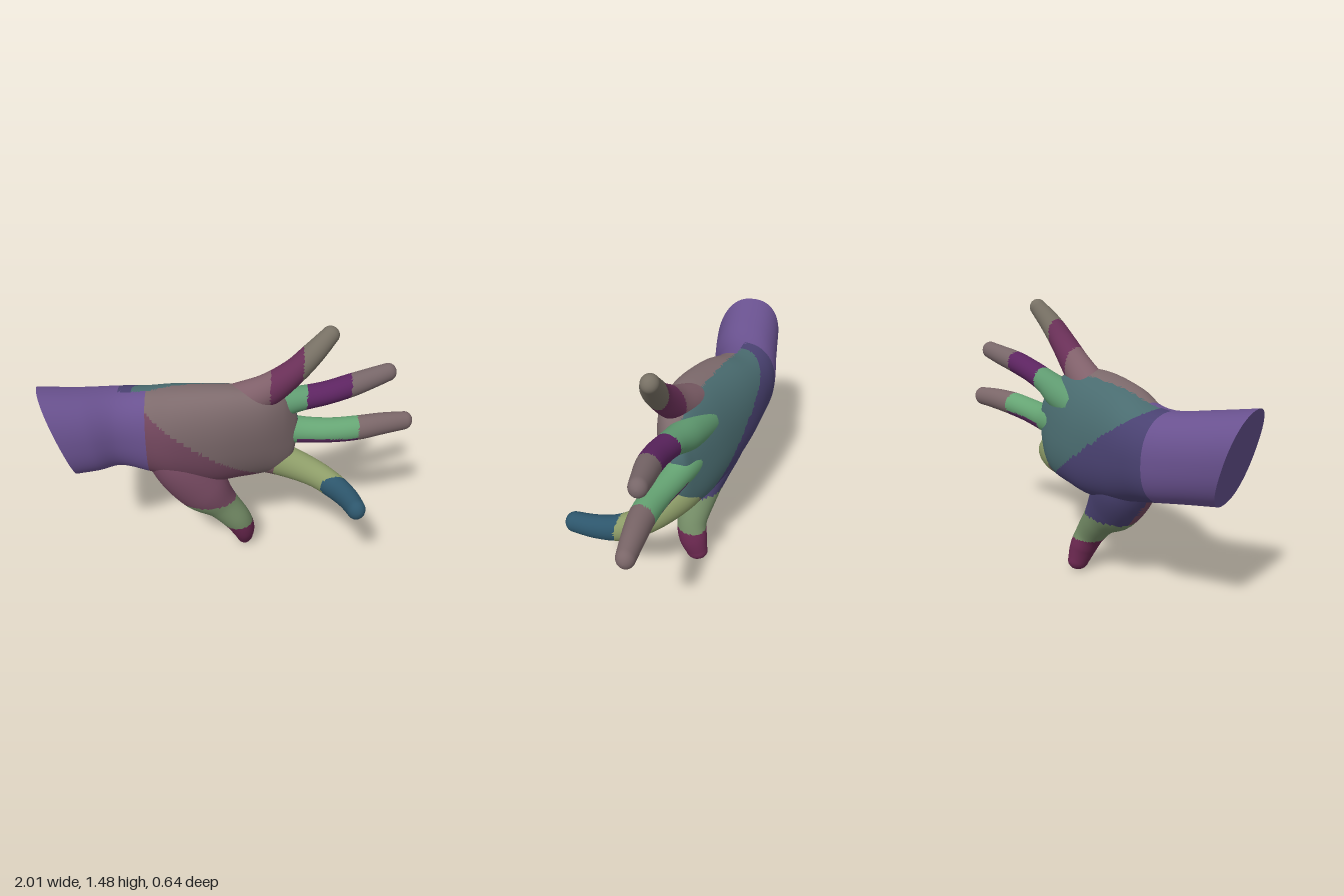
import * as THREE from 'three';

const V = (x, y, z) => new THREE.Vector3(x, y, z);

// Uniform Catmull-Rom through rows of any width, t in 0..1
function spline(rows, t) {
  const n = rows.length - 1, s = Math.min(t * n, n - 1e-6), i = Math.floor(s), f = s - i;
  const p = k => rows[Math.max(0, Math.min(n, k))];
  const a = p(i - 1), b = p(i), c = p(i + 1), d = p(i + 2);
  return b.map((_, k) => 0.5 * (2 * b[k] + (c[k] - a[k]) * f
    + (2 * a[k] - 5 * b[k] + 4 * c[k] - d[k]) * f * f
    + (3 * b[k] - a[k] - 3 * c[k] + d[k]) * f * f * f));
}

// Skin rings of points, then split the smooth skin into coloured zones
function skin(name, rings, zoneOf, colors) {
  const m = rings[0].length, pos = [], idx = [];
  rings.forEach(r => r.forEach(p => pos.push(p.x, p.y, p.z)));
  for (let i = 0; i < rings.length - 1; i++) {
    for (let j = 0; j < m; j++) {
      const a = i * m + j, b = i * m + (j + 1) % m;
      idx.push(a, b, a + m, b, b + m, a + m);
    }
  }
  let geo = new THREE.BufferGeometry();
  geo.setAttribute('position', new THREE.Float32BufferAttribute(pos, 3));
  geo.setIndex(idx);
  geo.computeVertexNormals();
  geo = geo.toNonIndexed();
  const P = geo.attributes.position.array, N = geo.attributes.normal.array;
  const zones = {};
  for (let k = 0; k < P.length; k += 9) {
    const mid = V(P[k] + P[k + 3] + P[k + 6], P[k + 1] + P[k + 4] + P[k + 7],
      P[k + 2] + P[k + 5] + P[k + 8]).divideScalar(3);
    const z = zones[zoneOf(mid)] ??= { p: [], n: [] };
    z.p.push(...P.slice(k, k + 9));
    z.n.push(...N.slice(k, k + 9));
  }
  const group = new THREE.Group();
  group.name = name;
  for (const key in zones) {
    const g = new THREE.BufferGeometry();
    g.setAttribute('position', new THREE.Float32BufferAttribute(zones[key].p, 3));
    g.setAttribute('normal', new THREE.Float32BufferAttribute(zones[key].n, 3));
    const mesh = new THREE.Mesh(g, new THREE.MeshStandardMaterial({ color: colors[key] }));
    mesh.name = name + key;
    group.add(mesh);
  }
  return group;
}

// Finger: stations of [x, y, z, radius, radius], closed by a rounded tip
function fingerRings(stations, ref, steps = 60, sides = 32) {
  const rings = [];
  const ring = (c, dir, ra, rb) => {
    const A = ref.clone().cross(dir).normalize(), B = dir.clone().cross(A);
    rings.push(Array.from({ length: sides }, (_, j) => {
      const a = j / sides * Math.PI * 2;
      return c.clone().addScaledVector(A, ra * Math.cos(a)).addScaledVector(B, rb * Math.sin(a));
    }));
  };
  const at = t => V(...spline(stations, t).slice(0, 3));
  const tangent = t => at(Math.min(1, t + 0.02)).sub(at(Math.max(0, t - 0.02))).normalize();
  for (let i = 0; i <= steps; i++) {
    const t = i / steps, s = spline(stations, t);
    ring(at(t), tangent(t), s[3], s[4]);
  }
  const [x, y, z, ra, rb] = stations.at(-1), dir = tangent(1);
  for (let k = 1; k <= 7; k++) {
    const a = k / 7 * Math.PI / 2, c = Math.max(Math.cos(a), 0.001);
    ring(V(x, y, z).addScaledVector(dir, 0.95 * (ra + rb) / 2 * Math.sin(a)), dir, ra * c, rb * c);
  }
  return rings;
}

// Forearm and palm: [xTop, xBottom, yTop, yBottom, zFront, zBack, zEdge, skew of the cut, lean of the edges]
const PALM = [
  [-0.99, -0.842, 1.155, 0.67, 0.165, -0.19, 0.0, 0.28, 0],
  [-0.79, -0.72, 1.115, 0.655, 0.115, -0.25, -0.06, 0.15, 0],
  [-0.6, -0.6, 1.085, 0.64, 0.05, -0.31, -0.13, 0, 0],
  [-0.45, -0.45, 1.09, 0.595, 0.04, -0.32, -0.12, 0, 0],
  [-0.3, -0.3, 1.125, 0.55, 0.07, -0.315, -0.1, 0, 0.02],
  [-0.1, -0.1, 1.15, 0.52, 0.075, -0.295, -0.085, 0, 0.04],
  [0.05, 0.05, 1.155, 0.535, 0.06, -0.275, -0.09, 0, 0.05],
  [0.18, 0.18, 1.14, 0.55, 0.03, -0.25, -0.1, 0, 0.05],
  [0.275, 0.275, 1.08, 0.58, -0.015, -0.225, -0.11, 0, 0.03],
  [0.34, 0.34, 0.985, 0.67, -0.07, -0.195, -0.13, 0, 0],
  [0.365, 0.365, 0.9, 0.83, -0.125, -0.14, -0.135, 0, 0],
];

function palmRings(steps = 110, sides = 80) {
  const pow = v => Math.sign(v) * Math.pow(Math.abs(v), 0.88);
  return Array.from({ length: steps + 1 }, (_, i) => {
    const [xt, xb, yt, yb, zf, zb, zm, skew, lean] = spline(PALM, i / steps);
    return Array.from({ length: sides }, (_, j) => {
      const a = j / sides * Math.PI * 2, c = pow(Math.cos(a)), s = pow(Math.sin(a));
      const depth = s * (s > 0 ? zf - zm : zm - zb);
      return V((xt + xb) / 2 + c * (xt - xb) / 2 + skew * depth,
        (yt + yb) / 2 + c * (yt - yb) / 2, zm + depth + lean * c);
    });
  });
}

export function createModel() {
  const hand = new THREE.Group();
  hand.name = 'hand';
  const Z = V(0, 0, 1), Y = V(0, 1, 0);

  // Forearm, palm and back of the hand
  const rings = palmRings();
  const palmZone = p => {
    const upper = p.y > 0.63 - 0.72 * (p.x - 0.1);
    if (p.z > -0.12) return p.x < -0.45 ? 'Forearm' : upper ? 'Heel' : 'ThumbSide';
    return p.x < -0.6 ? 'Forearm' : upper ? 'Back' : 'BackThumbSide';
  };
  hand.add(skin('palm', rings, palmZone, {
    Forearm: 0x6a5290, Heel: 0x7d6a6c, ThumbSide: 0x74485f, Back: 0x4a6c70, BackThumbSide: 0x4a4272,
  }));

  // Flat cut at the end of the forearm
  const rim = rings[0], mid = rim.reduce((s, p) => s.add(p), V(0, 0, 0)).divideScalar(rim.length);
  const cutPoints = rim.flatMap((p, j) => [mid, rim[(j + 1) % rim.length], p]);
  const cutGeo = new THREE.BufferGeometry().setFromPoints(cutPoints);
  cutGeo.computeVertexNormals();
  const cut = new THREE.Mesh(cutGeo, new THREE.MeshStandardMaterial({ color: 0x62508c }));
  cut.name = 'forearmCut';
  hand.add(cut);

  // Fingers along x, split where the colour changes
  const bands = (a, b) => p => (p.x < a ? 'Base' : p.x < b ? 'Middle' : 'Tip');
  hand.add(skin('littleFinger', fingerRings([
    [-0.1, 1.02, -0.1, 0.08, 0.09],
    [0.07, 1.075, -0.07, 0.095, 0.09],
    [0.2, 1.15, -0.05, 0.085, 0.078],
    [0.32, 1.255, -0.045, 0.066, 0.07],
    [0.41, 1.35, -0.06, 0.058, 0.06],
    [0.492, 1.437, -0.09, 0.046, 0.044],
  ], Z), bands(0.2, 0.36), { Base: 0x80606a, Middle: 0x6a3058, Tip: 0x777064 }));

  hand.add(skin('ringFinger', fingerRings([
    [0.05, 0.97, -0.15, 0.09, 0.09],
    [0.22, 1.0, -0.14, 0.09, 0.085],
    [0.36, 1.04, -0.13, 0.068, 0.07],
    [0.5, 1.075, -0.13, 0.062, 0.066],
    [0.63, 1.11, -0.15, 0.062, 0.062],
    [0.74, 1.137, -0.18, 0.056, 0.054],
    [0.83, 1.16, -0.205, 0.049, 0.045],
  ], Z), bands(0.4, 0.63), { Base: 0x5f9a70, Middle: 0x5c2460, Tip: 0x776668 }));

  hand.add(skin('middleFinger', fingerRings([
    [0.05, 0.86, -0.16, 0.1, 0.09],
    [0.23, 0.845, -0.15, 0.095, 0.085],
    [0.38, 0.835, -0.14, 0.074, 0.074],
    [0.54, 0.838, -0.13, 0.068, 0.07],
    [0.69, 0.847, -0.14, 0.068, 0.066],
    [0.83, 0.855, -0.17, 0.062, 0.057],
    [0.955, 0.855, -0.2, 0.053, 0.046],
  ], Z), p => (p.x > 0.69 ? 'Tip' : p.x > 0.36 && p.y < 0.82 ? 'Middle' : 'Base'),
  { Base: 0x66a574, Middle: 0x5f2c62, Tip: 0x7a6668 }));

  // Index finger, curled towards the front
  hand.add(skin('indexFinger', fingerRings([
    [0.05, 0.69, -0.16, 0.09, 0.12],
    [0.22, 0.65, -0.145, 0.088, 0.105],
    [0.36, 0.622, -0.1, 0.078, 0.09],
    [0.48, 0.6, -0.035, 0.07, 0.077],
    [0.57, 0.588, 0.055, 0.062, 0.073],
    [0.625, 0.597, 0.16, 0.056, 0.064],
    [0.655, 0.61, 0.268, 0.049, 0.056],
  ], Y), p => (p.z > 0.06 ? 'Tip' : p.x < 0.24 ? 'Base' : 'Middle'),
  { Base: 0x7a5a62, Middle: 0x8d9c68, Tip: 0x2d566c }));

  // Thumb with the ball of the palm
  hand.add(skin('thumb', fingerRings([
    [-0.45, 0.82, -0.14, 0.09, 0.1],
    [-0.3, 0.64, -0.11, 0.155, 0.155],
    [-0.16, 0.47, -0.085, 0.152, 0.135],
    [-0.055, 0.35, -0.09, 0.1, 0.102],
    [0.035, 0.235, -0.09, 0.081, 0.086],
    [0.073, 0.14, -0.115, 0.069, 0.083],
    [0.083, 0.06, -0.145, 0.052, 0.065],
  ], Z), p => (p.y < 0.21 ? 'Tip' : p.y < 0.4 ? 'Middle' : p.z > -0.12 ? 'Ball' : 'Back'),
  { Ball: 0x74485f, Back: 0x4a4272, Middle: 0x748c66, Tip: 0x6b2850 }));

  return hand;
}
